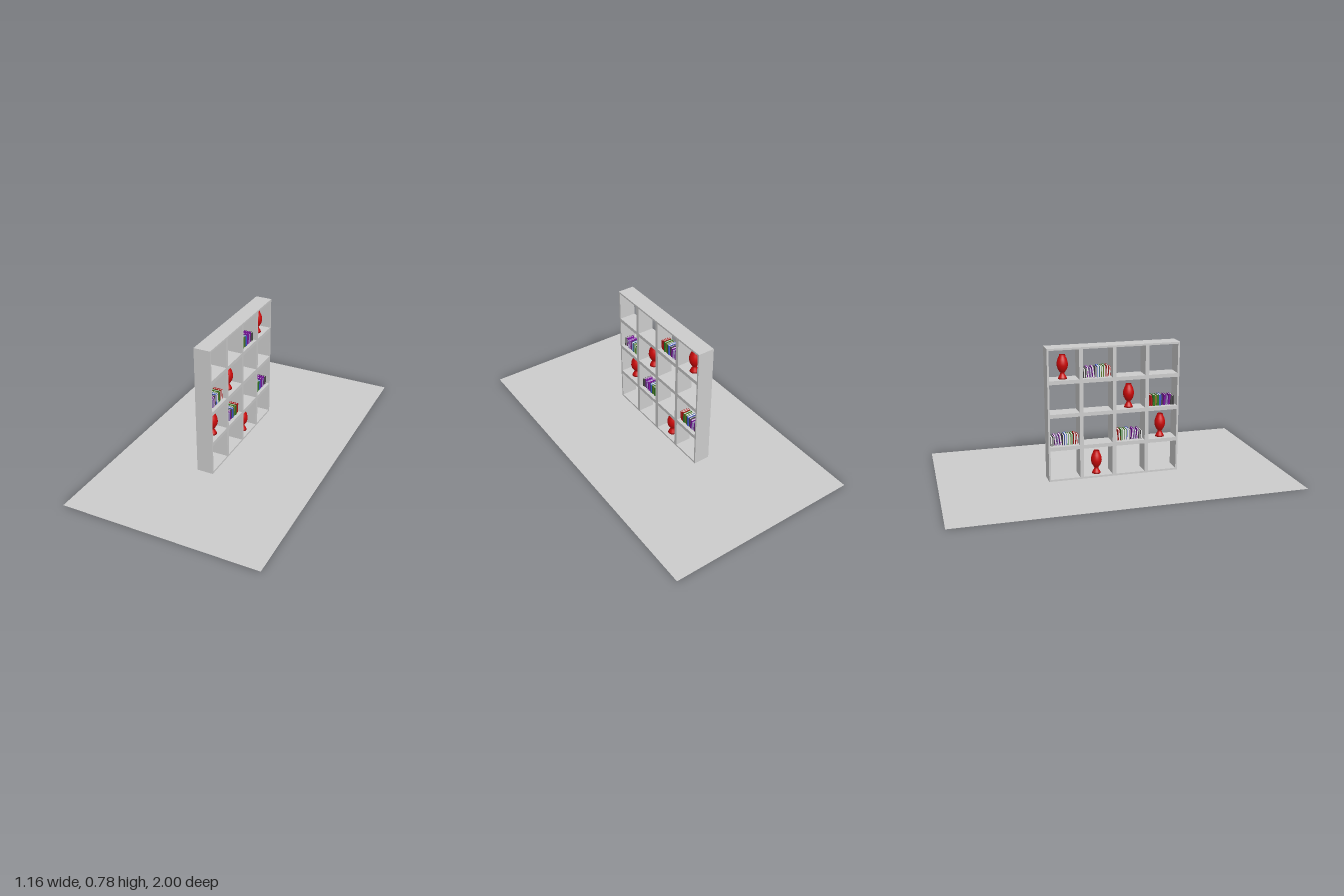
import * as THREE from 'three';

const mat = (name, color, side = THREE.FrontSide) => {
  const m = new THREE.MeshStandardMaterial({ color, side });
  m.name = name;
  return m;
};

// Grid of cells: column 0 is at +z, row 0 is at the top
const N = 4, CELL = 0.194, WALL = 0.011, SIZE = N * CELL;
const Z0 = 0.398, X_BACK = -0.095, DEPTH = 0.098;
const cellZ = col => Z0 - (col + 0.5) * CELL;
const cellFloor = row => (N - 1 - row) * CELL + WALL;

export function createModel() {
  const grey = mat('shelf grey', 0xcccccc, THREE.DoubleSide);
  const vaseRed = mat('vase red', 0xcc0a0a, THREE.DoubleSide);
  const red = mat('book red', 0xb01515);
  const green = mat('book green', 0x2f7a22);
  const olive = mat('book olive', 0x85702a);
  const blue = mat('book blue', 0x4055cc);
  const purple = mat('book purple', 0x7a129c);
  const lilac = mat('book lilac', 0x9c86c4);
  const dark = mat('book dark grey', 0x4a4a4a);
  const paper = mat('page white', 0xf4f4f4);

  const model = new THREE.Group();
  const add = (parent, name, geometry, material, x = 0, y = 0, z = 0) => {
    const mesh = new THREE.Mesh(geometry, material);
    mesh.name = name;
    mesh.position.set(x, y, z);
    parent.add(mesh);
    return mesh;
  };

  // Floor sheet
  add(model, 'floor', new THREE.PlaneGeometry(1.165, 2).rotateX(-Math.PI / 2), grey);

  // Shelf unit: a square slab pierced by sixteen openings
  const rect = (Type, u, v, s) => {
    const p = new Type();
    p.moveTo(u, v);
    p.lineTo(u + s, v);
    p.lineTo(u + s, v + s);
    p.lineTo(u, v + s);
    p.closePath();
    return p;
  };
  const outline = rect(THREE.Shape, -Z0, 0, SIZE);
  for (let r = 0; r < N; r++) {
    for (let c = 0; c < N; c++) {
      outline.holes.push(rect(THREE.Path, -Z0 + c * CELL + WALL, r * CELL + WALL, CELL - 2 * WALL));
    }
  }
  const slab = new THREE.ExtrudeGeometry(outline, { depth: DEPTH, bevelEnabled: false });
  add(model, 'shelfUnit', slab.rotateY(Math.PI / 2), grey, X_BACK);

  // Vases: flared foot, narrow neck, round belly and open mouth
  const profile = [
    [0, 0], [0.026, 0], [0.022, 0.01], [0.014, 0.025], [0.011, 0.034], [0.018, 0.043],
    [0.027, 0.058], [0.032, 0.078], [0.031, 0.094], [0.026, 0.113], [0.019, 0.127], [0.017, 0.138],
  ].map(([r, y]) => new THREE.Vector2(r, y));
  const vaseGeometry = new THREE.LatheGeometry(profile, 24);
  for (const [row, col] of [[0, 3], [1, 1], [2, 0], [3, 2]]) {
    add(model, 'vase', vaseGeometry, vaseRed, -0.046, cellFloor(row), cellZ(col));
  }

  // One book: two boards, a spine at +x and a page block
  const BOARD = 0.0015;
  function makeBook(cover, thick, height, depth) {
    const book = new THREE.Group();
    book.name = 'book';
    for (const s of [-1, 1]) {
      add(book, 'coverBoard', new THREE.BoxGeometry(depth, height, BOARD), cover,
        0, height / 2, s * (thick - BOARD) / 2);
    }
    add(book, 'spine', new THREE.BoxGeometry(BOARD, height, thick - 2 * BOARD), cover,
      (depth - BOARD) / 2, height / 2, 0);
    add(book, 'pages', new THREE.BoxGeometry(depth - 0.004, height - 0.004, thick - 2 * BOARD), paper,
      -0.0005, height / 2, 0);
    return book;
  }

  // Row of books: cover, distance along the row, thickness, height, lean
  const bookList = [
    [red, 0.007, 0.011, 0.056, 0.1],
    [red, 0.021, 0.011, 0.064, 0.06],
    [green, 0.035, 0.011, 0.064, 0],
    [olive, 0.047, 0.011, 0.06, 0],
    [green, 0.059, 0.011, 0.063, 0],
    [blue, 0.072, 0.013, 0.064, 0],
    [dark, 0.084, 0.009, 0.06, 0],
    [purple, 0.097, 0.011, 0.062, -0.12],
    [lilac, 0.112, 0.007, 0.056, -0.1],
    [purple, 0.127, 0.010, 0.062, -0.12],
    [dark, 0.141, 0.008, 0.055, 0],
    [dark, 0.153, 0.010, 0.053, 0],
  ];
  function makeBookRow(order) {
    const row = new THREE.Group();
    row.name = 'bookRow';
    bookList.forEach(([cover, along, thick, height, lean], i) => {
      const book = makeBook(cover, thick, height, 0.046 + 0.004 * (i % 3));
      book.position.z = order * (0.08 - along);
      book.rotation.x = order * lean;
      row.add(book);
    });
    return row;
  }

  // Row, column, direction of the order, turn about the vertical
  for (const [row, col, order, turn] of [[0, 2, 1, 0], [1, 0, 1, Math.PI], [2, 1, -1, 0], [2, 3, 1, 0]]) {
    const books = makeBookRow(order);
    books.position.set(-0.043, cellFloor(row), cellZ(col));
    books.rotation.y = turn;
    model.add(books);
  }

  return model;
}
